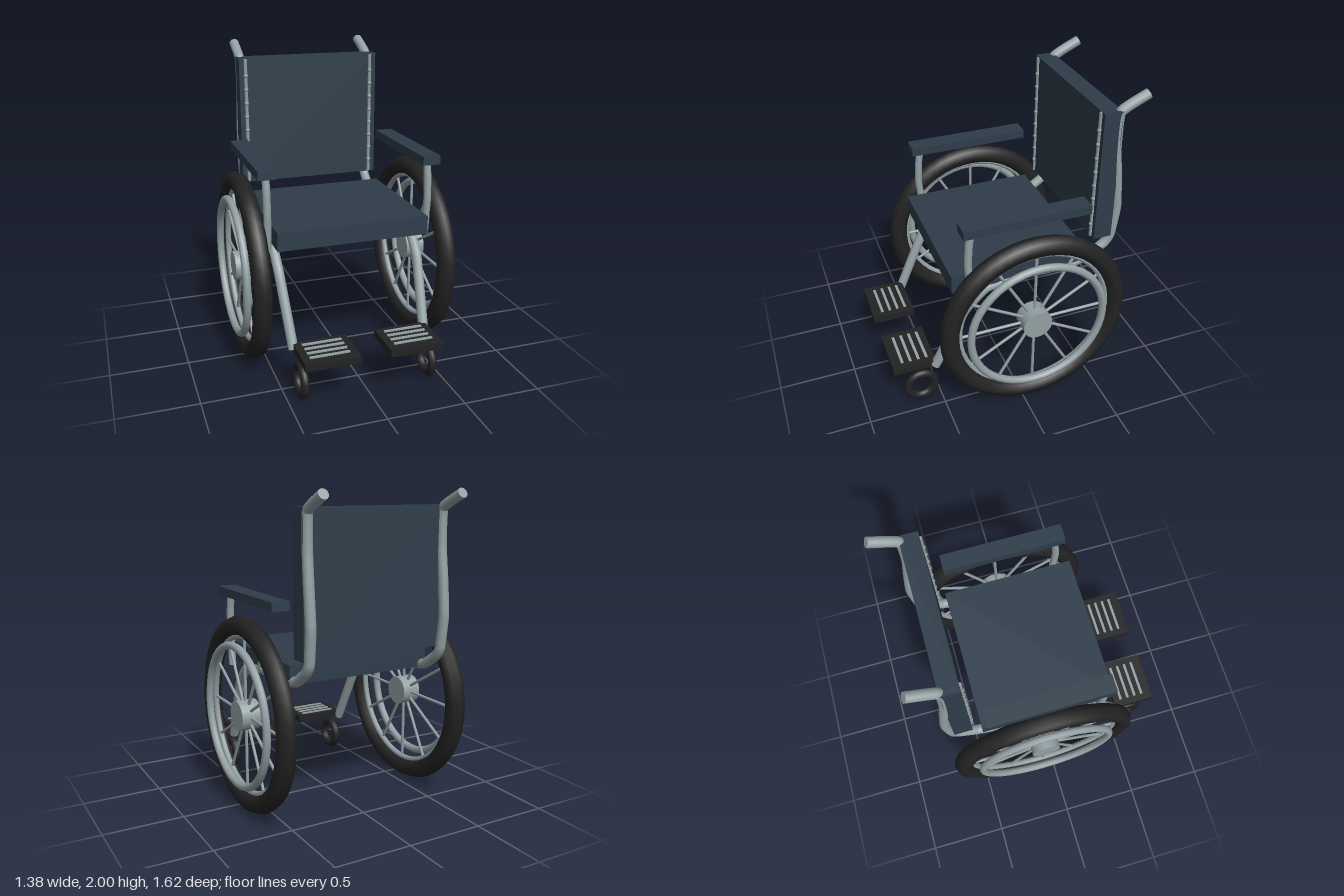
import * as THREE from 'three';

const navy = new THREE.MeshStandardMaterial({ color: 0x2e3d4a });
navy.name = 'navy upholstery';
const silver = new THREE.MeshStandardMaterial({ color: 0x93a0a3 });
silver.name = 'silver metal';
const black = new THREE.MeshStandardMaterial({ color: 0x222222 });
black.name = 'black rubber';

function add(parent, name, geometry, material, x = 0, y = 0, z = 0) {
  const mesh = new THREE.Mesh(geometry, material);
  mesh.name = name;
  mesh.position.set(x, y, z);
  parent.add(mesh);
  return mesh;
}

// Box given by its min and max corners
function box(parent, name, material, [x0, y0, z0], [x1, y1, z1]) {
  return add(parent, name, new THREE.BoxGeometry(x1 - x0, y1 - y0, z1 - z0), material,
    (x0 + x1) / 2, (y0 + y1) / 2, (z0 + z1) / 2);
}

// Round bar through points, with closed ends
function pipe(parent, name, points, radius, segments) {
  const pts = points.map(p => new THREE.Vector3(...p));
  const curve = new THREE.CatmullRomCurve3(pts, false, 'catmullrom', 0.2);
  add(parent, name, new THREE.TubeGeometry(curve, segments, radius, 12), silver);
  for (const t of [0, 1]) {
    const p = curve.getPointAt(t);
    const dir = curve.getTangentAt(t).multiplyScalar(t ? 1 : -1);
    const cap = add(parent, name + 'Cap', new THREE.CircleGeometry(radius, 12), silver, p.x, p.y, p.z);
    cap.quaternion.setFromUnitVectors(new THREE.Vector3(0, 0, 1), dir);
  }
}

// Ring standing in the y-z plane
function ring(parent, name, material, x, major, minor, sides, segments) {
  const g = new THREE.TorusGeometry(major, minor, sides, segments).rotateY(Math.PI / 2);
  return add(parent, name, g, material, x);
}

function makeWheel(s) {
  const wheel = new THREE.Group();
  wheel.name = 'driveWheel';
  wheel.position.set(s * 0.598, 0.62, -0.072);
  ring(wheel, 'tire', black, 0, 0.555, 0.062, 8, 48);
  ring(wheel, 'rim', silver, 0, 0.495, 0.02, 8, 48);
  ring(wheel, 'pushRim', silver, s * 0.066, 0.44, 0.025, 8, 48);
  add(wheel, 'hub', new THREE.CylinderGeometry(0.095, 0.095, 0.126, 24).rotateZ(Math.PI / 2), silver);
  for (let i = 0; i < 12; i++) {
    const spoke = new THREE.CylinderGeometry(0.01, 0.01, 0.42, 8).translate(0, 0.285, 0);
    add(wheel, 'spoke', spoke, silver).rotation.x = (i * Math.PI) / 6;
  }
  return wheel;
}

function makeSide(s) {
  const side = new THREE.Group();
  side.name = s > 0 ? 'leftSide' : 'rightSide';
  const mid = (name, mat, w, h, d, x, y, z) =>
    add(side, name, new THREE.BoxGeometry(w, h, d), mat, s * x, y, z);

  side.add(makeWheel(s));

  // Main frame from push handle, down the back, under the seat, to the footplate
  pipe(side, 'frameTube', [
    [0.455, 1.972, -0.795], [0.455, 1.882, -0.622], [0.455, 1.66, -0.617], [0.458, 1.45, -0.64],
    [0.458, 1.24, -0.658], [0.455, 1.04, -0.635], [0.455, 0.985, -0.6], [0.455, 0.91, -0.49],
    [0.46, 0.883, -0.35], [0.462, 0.888, 0], [0.462, 0.845, 0.2], [0.458, 0.7, 0.34],
    [0.43, 0.285, 0.535],
  ].map(([x, y, z]) => [s * x, y, z]), 0.032, 160);

  // Armrest and its bent post
  mid('armrest', navy, 0.115, 0.056, 0.8, 0.5225, 1.342, -0.025);
  pipe(side, 'armrestPost', [
    [s * 0.52, 1.32, 0.31], [s * 0.52, 1.22, 0.325], [s * 0.52, 1.08, 0.332], [s * 0.52, 0.85, 0.31],
  ], 0.024, 24);

  // Piping and studs on the backrest edge
  add(side, 'backrestPiping', new THREE.CylinderGeometry(0.012, 0.012, 0.84, 8), silver,
    s * 0.442, 1.475, -0.506);
  for (let i = 0; i < 8; i++) {
    add(side, 'stud', new THREE.SphereGeometry(0.015, 10, 8), silver,
      s * 0.442, 1.14 + i * 0.092, -0.504);
  }

  // Footplate with grip strips
  mid('footplate', black, 0.34, 0.046, 0.28, 0.265, 0.305, 0.67);
  for (let i = 0; i < 4; i++) {
    mid('gripStrip', silver, 0.25, 0.009, 0.018, 0.265, 0.3315, 0.582 + i * 0.053);
  }

  // Small front wheel
  ring(side, 'caster', black, s * 0.412, 0.09, 0.026, 10, 32).position.set(s * 0.412, 0.128, 0.63);
  return side;
}

export function createModel() {
  const model = new THREE.Group();
  model.name = 'wheelchair';
  box(model, 'seat', navy, [-0.485, 0.882, -0.45], [0.485, 1.0, 0.425]);
  box(model, 'backrest', navy, [-0.485, 1.05, -0.625], [0.485, 1.9, -0.508]);
  model.add(makeSide(1), makeSide(-1));
  return model;
}
